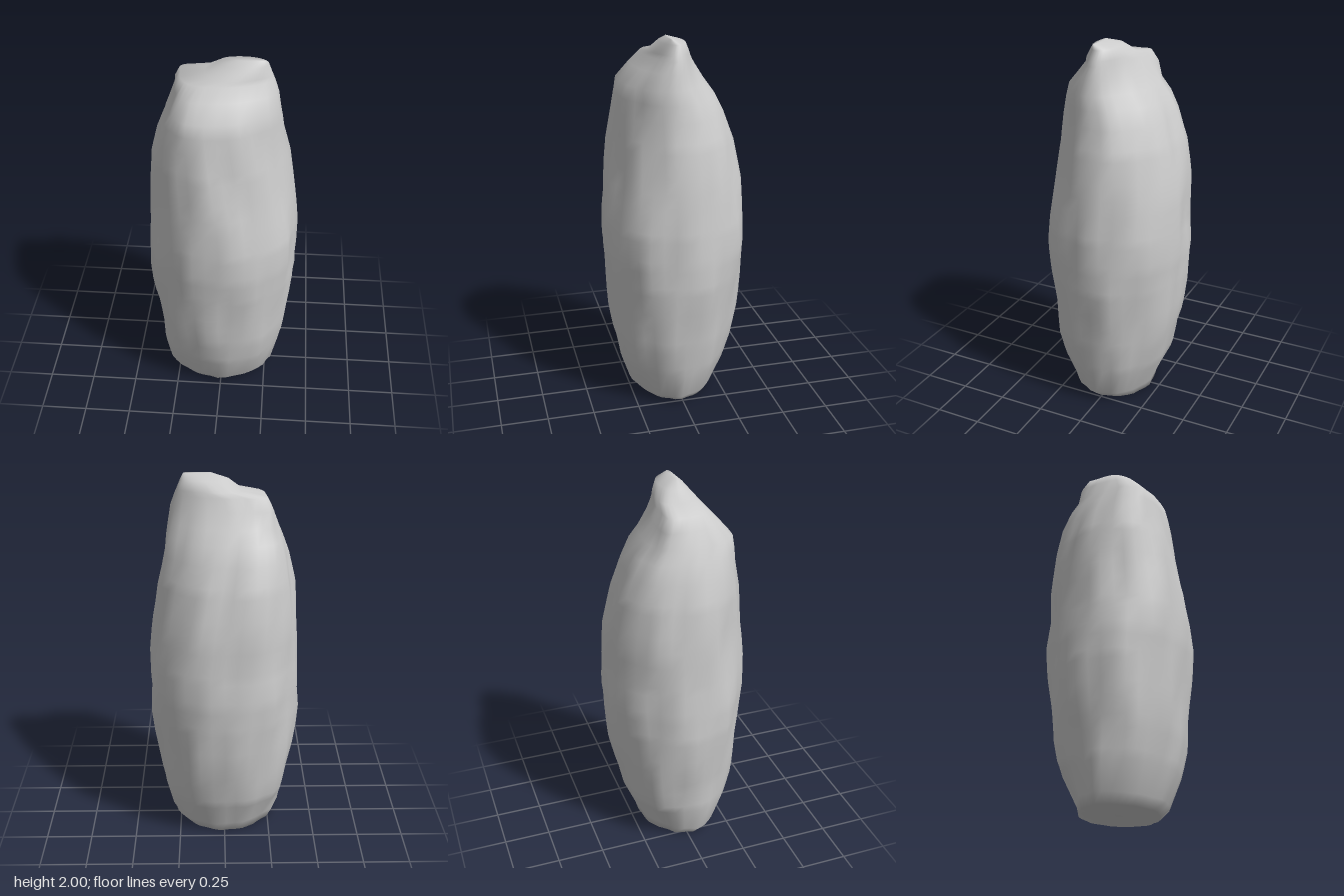
import * as THREE from 'three';

// Cross-sections from ground to peak: [y, xMin, xMax, zMin, zMax, skew]
// skew pulls the front and back flanks towards -x, making the top wedge-shaped.
const SECTIONS = [
  [0, -0.27, 0.23, -0.20, 0.20, 0],
  [0.05, -0.31, 0.285, -0.215, 0.24, 0],
  [0.2, -0.34, 0.325, -0.28, 0.295, 0],
  [0.35, -0.355, 0.355, -0.315, 0.33, 0],
  [0.5, -0.38, 0.37, -0.345, 0.35, 0],
  [0.7, -0.40, 0.395, -0.365, 0.37, 0],
  [0.9, -0.40, 0.40, -0.38, 0.385, 0],
  [1.05, -0.39, 0.395, -0.37, 0.375, 0],
  [1.25, -0.38, 0.37, -0.36, 0.35, 0.01],
  [1.45, -0.365, 0.34, -0.33, 0.33, 0.03],
  [1.6, -0.335, 0.31, -0.28, 0.305, 0.05],
  [1.69, -0.305, 0.3, -0.235, 0.29, 0.07],
  [1.76, -0.275, 0.285, -0.18, 0.275, 0.08],
  [1.84, -0.24, 0.27, -0.125, 0.205, 0.08],
  [1.9, -0.21, 0.25, -0.09, 0.15, 0.06],
  [1.925, -0.09, 0.24, -0.07, 0.13, 0.03],
  [1.975, -0.025, 0.22, -0.04, 0.09, 0],
  [2.0, 0.06, 0.205, 0.035, 0.06, 0],
];
const SEGMENTS = 36;
const ROWS = 24;

// Single knobs and hollows: [degrees around from +x, y, amount, spread in degrees, spread in y]
const LUMPS = [
  [228, 1.88, 0.28, 20, 0.07],
  [145, 1.75, -0.04, 22, 0.12],
  [225, 1.25, 0.03, 25, 0.15],
  [225, 0.06, -0.13, 35, 0.12],
  [225, 0.3, 0.03, 25, 0.1],
  [293, 0.85, 0.05, 14, 0.5],
  [272, 0.85, -0.03, 8, 0.5],
  [115, 0.8, -0.03, 16, 0.4],
  [70, 1.1, 0.03, 12, 0.16],
  [72, 1.42, -0.06, 13, 0.14],
  [110, 1.3, 0.02, 18, 0.4],
  [85, 0.62, -0.03, 18, 0.15],
  [352, 1.4, 0.03, 9, 0.25],
  [18, 1.3, -0.03, 9, 0.25],
  [278, 1.55, -0.04, 16, 0.3],
];

// Interpolated section at height y
function sectionAt(y) {
  let i = 0;
  while (i < SECTIONS.length - 2 && y > SECTIONS[i + 1][0]) i++;
  const a = SECTIONS[i], b = SECTIONS[i + 1];
  const t = (y - a[0]) / (b[0] - a[0]);
  return a.map((v, k) => THREE.MathUtils.lerp(v, b[k], t));
}

// Wandering ribs, periodic around the stone, plus the single lumps
function weathering(angle, y) {
  let r = 0.010 * Math.sin(5 * angle + 4.9 * y + 0.6 * Math.sin(3.1 * y))
    + 0.014 * Math.sin(9 * angle - 5.7 * y + 1.3)
    + 0.010 * Math.sin(4 * angle + 9.3 * y + 2.1)
    + 0.014 * Math.sin(13 * angle + 7.2 * y + 0.4);
  r *= THREE.MathUtils.smoothstep(2 - y, 0, 0.3);
  for (const [deg, ly, amount, da, dy] of LUMPS) {
    const d = THREE.MathUtils.euclideanModulo(angle * THREE.MathUtils.RAD2DEG - deg + 180, 360) - 180;
    r += amount * Math.exp(-((d / da) ** 2) - ((y - ly) / dy) ** 2);
  }
  return r;
}

function stonePoint(angle, y) {
  const [, x0, x1, z0, z1, skew] = sectionAt(y);
  const c = Math.cos(angle), s = Math.sin(angle);
  const r = 1 + weathering(angle, y);
  return [
    (x0 + x1) / 2 + ((x1 - x0) / 2) * c * r - skew * s * s,
    y,
    (z0 + z1) / 2 + ((z1 - z0) / 2) * s * r,
  ];
}

// Heights: even spacing through the body, plus every listed section
function rowHeights() {
  const ys = SECTIONS.map((s) => s[0]);
  for (let i = 1; i < ROWS; i++) {
    const y = (i / ROWS) * 2;
    if (ys.every((v) => Math.abs(v - y) > 0.04)) ys.push(y);
  }
  return ys.sort((a, b) => a - b);
}

function buildStone() {
  const pos = [], index = [];
  const ys = rowHeights();
  for (const y of ys) {
    for (let j = 0; j < SEGMENTS; j++) pos.push(...stonePoint((j / SEGMENTS) * Math.PI * 2, y));
  }
  // Flanks
  for (let i = 0; i < ys.length - 1; i++) {
    for (let j = 0; j < SEGMENTS; j++) {
      const k = (j + 1) % SEGMENTS;
      const a = i * SEGMENTS + j, b = i * SEGMENTS + k;
      index.push(a, a + SEGMENTS, b, b, a + SEGMENTS, b + SEGMENTS);
    }
  }
  // Peak cap and flat foot
  const peak = pos.length / 3, foot = peak + 1, top = (ys.length - 1) * SEGMENTS;
  pos.push(0.13, 2.0, 0.048, -0.02, 0, 0);
  for (let j = 0; j < SEGMENTS; j++) {
    const k = (j + 1) % SEGMENTS;
    index.push(top + j, peak, top + k, foot, j, k);
  }

  const geometry = new THREE.BufferGeometry();
  geometry.setAttribute('position', new THREE.Float32BufferAttribute(pos, 3));
  geometry.setIndex(index);
  geometry.computeVertexNormals();
  return geometry;
}

export function createModel() {
  const group = new THREE.Group();
  group.name = 'standingStone';
  const stone = new THREE.Mesh(buildStone(), new THREE.MeshStandardMaterial({ color: 0xcccccc }));
  stone.name = 'stone';
  group.add(stone);
  return group;
}
